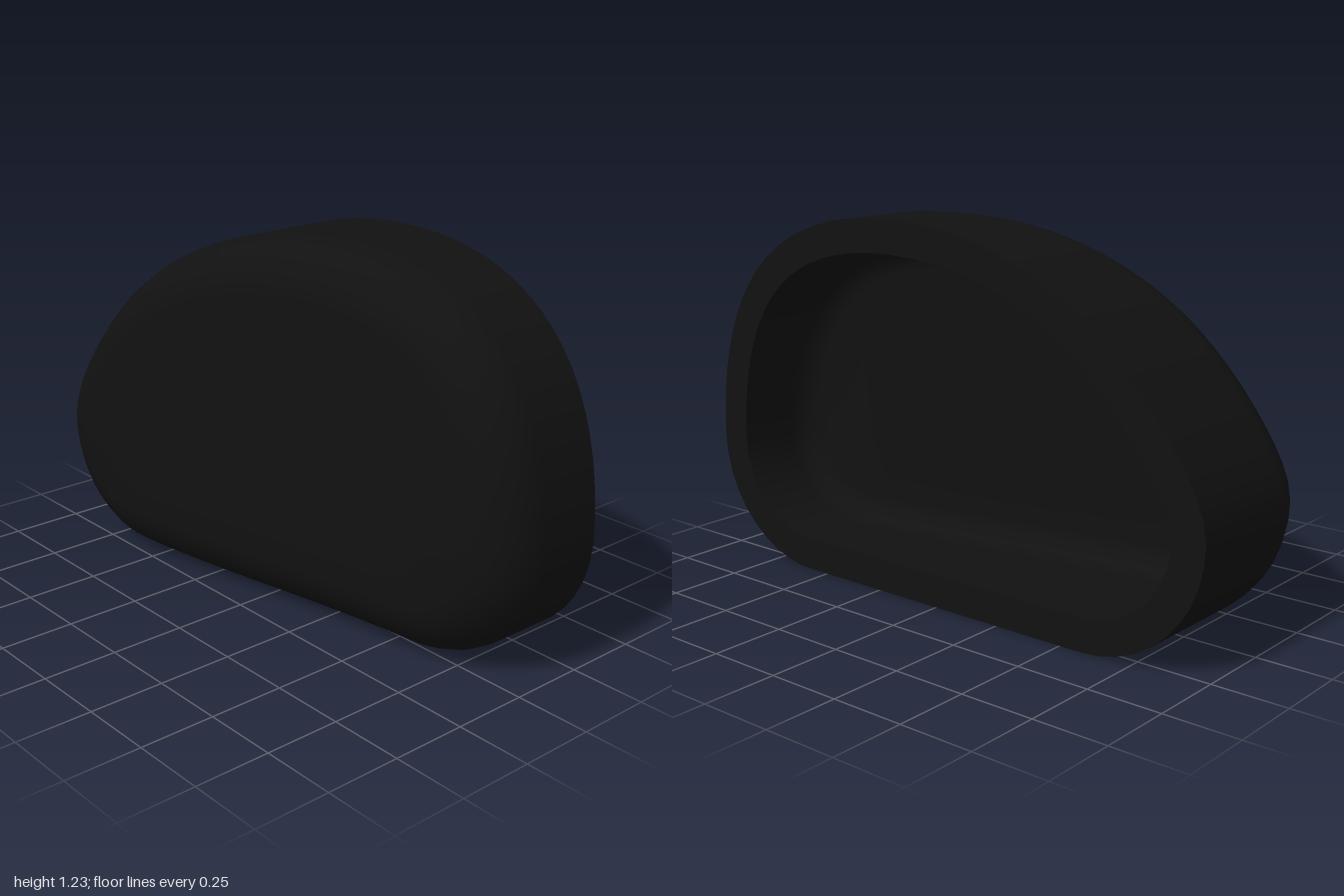
import * as THREE from 'three';

const BACK = -0.3;
const CENTRE = new THREE.Vector2(0.05, 0.56);
const SEGMENTS = 80;

// Front face sweeps from thick at -x to thin at +x
const frontZ = (x) => 0.203 - 0.1 * Math.sin(THREE.MathUtils.clamp(x / 0.85, -1, 1) * Math.PI / 2);

// Rounded outline with a flat base, counter-clockwise from the front
function makeOutline() {
  const s = new THREE.Shape();
  s.moveTo(-0.58, 0);
  s.lineTo(0.58, 0);
  s.bezierCurveTo(0.81, 0, 1, 0.19, 1, 0.42);
  s.bezierCurveTo(1, 0.96, 0.72, 1.235, 0.2, 1.235);
  s.bezierCurveTo(-0.35, 1.235, -0.68, 0.97, -0.9, 0.66);
  s.bezierCurveTo(-0.97, 0.56, -1, 0.49, -1, 0.42);
  s.bezierCurveTo(-1, 0.19, -0.81, 0, -0.58, 0);
  const pts = s.getSpacedPoints(SEGMENTS).slice(0, SEGMENTS);
  return pts.map((p, i) => {
    const a = pts[(i + SEGMENTS - 1) % SEGMENTS];
    const b = pts[(i + 1) % SEGMENTS];
    const t = b.clone().sub(a).normalize();
    return { p, inward: new THREE.Vector2(-t.y, t.x) };
  });
}

// One ring: outline moved inward, shrunk to the centre, then placed in z
function ring(outline, inset, shrink, zRule) {
  return outline.map(({ p, inward }) => {
    const q = p.clone().addScaledVector(inward, inset).lerp(CENTRE, 1 - shrink);
    return new THREE.Vector3(q.x, q.y, zRule(q.x));
  });
}

// Rings from the back edge, round the fillet, across the face
function panRings(outline, inset, radius, thickness, steps) {
  const rings = [ring(outline, inset, 1, () => BACK)];
  for (let i = 0; i <= steps; i++) {
    const a = (i / steps) * Math.PI / 2;
    const drop = thickness + radius * (1 - Math.sin(a));
    rings.push(ring(outline, inset + radius * (1 - Math.cos(a)), 1, (x) => frontZ(x) - drop));
  }
  for (const k of [0.8, 0.6, 0.4, 0.2, 0]) {
    rings.push(ring(outline, inset + radius, k, (x) => frontZ(x) - thickness));
  }
  return rings;
}

function loft(rings) {
  const n = rings[0].length;
  const index = [];
  for (let r = 0; r < rings.length - 1; r++) {
    for (let i = 0; i < n; i++) {
      const j = (i + 1) % n;
      const a = r * n + i, b = r * n + j, c = a + n, d = b + n;
      index.push(a, b, d, a, d, c);
    }
  }
  const g = new THREE.BufferGeometry().setFromPoints(rings.flat());
  g.setIndex(index);
  g.computeVertexNormals();
  return g;
}

export function createModel() {
  const group = new THREE.Group();
  group.name = 'hollowCover';
  const material = new THREE.MeshStandardMaterial({ color: 0x111111 });
  const outline = makeOutline();
  const wall = 0.11;

  const add = (name, rings) => {
    const mesh = new THREE.Mesh(loft(rings), material);
    mesh.name = name;
    group.add(mesh);
  };

  // Outer body
  add('outerShell', panRings(outline, 0, 0.18, 0, 6));
  // Flat edge round the open back
  add('backRim', [ring(outline, wall, 1, () => BACK), ring(outline, 0, 1, () => BACK)]);
  // Hollow inside, following the outer body
  add('innerCavity', panRings(outline, wall, 0.09, 0.1, 5).reverse());

  return group;
}
